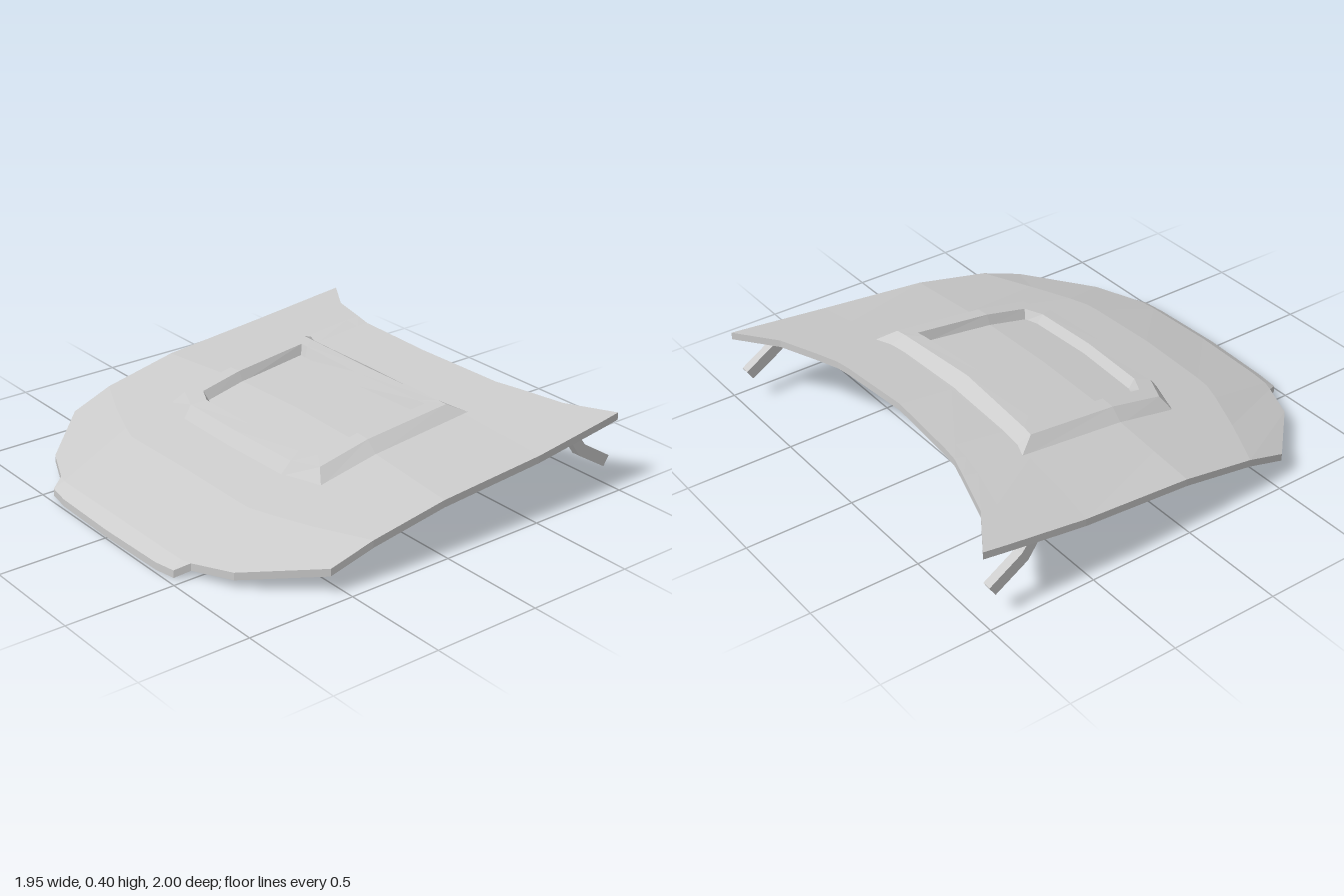
import * as THREE from 'three';

const material = new THREE.MeshStandardMaterial({ color: 0xcccccc, flatShading: true });

// Crowned panel height: centre-line profile along z, falling away to the sides
const profile = [[-1, 0.425], [-0.74, 0.395], [-0.48, 0.365], [0, 0.315], [0.59, 0.195], [0.93, 0.08], [1, 0.033]];
function height(x, z) {
  let i = 0;
  while (i < profile.length - 2 && z > profile[i + 1][0]) i++;
  const [z0, y0] = profile[i], [z1, y1] = profile[i + 1];
  return y0 + (y1 - y0) * (z - z0) / (z1 - z0) - 0.075 * x * x;
}

// Collects quads (counter-clockwise from their front) into one flat-shaded mesh
function quadMesh(name, quads) {
  const pos = [];
  for (const [a, b, c, d] of quads) pos.push(...a, ...b, ...c, ...a, ...c, ...d);
  const geo = new THREE.BufferGeometry();
  geo.setAttribute('position', new THREE.Float32BufferAttribute(pos, 3));
  geo.computeVertexNormals();
  const mesh = new THREE.Mesh(geo, material);
  mesh.name = name;
  return mesh;
}

// Main panel: rows run back to front, each listed from the centre to the side as [x, z, height offset]
function hoodPanel() {
  const front = [[0.67, 0.83, -0.006], [0.938, 0.56, -0.018]];
  const rows = [
    [[0, -0.74], [0.36, -0.762], [0.44, -0.77], [0.55, -0.803], [0.76, -0.868], [0.96, -1]],
    [[0, -0.69], [0.36, -0.71], [0.45, -0.72], [0.56, -0.74], [0.76, -0.79], [0.965, -0.89]],
    [[0, -0.48], [0.37, -0.48], [0.46, -0.48], [0.57, -0.49], [0.77, -0.5], [0.975, -0.52]],
    [[0, 0], [0.37, 0], [0.45, 0], [0.56, 0], [0.76, 0], [0.968, 0, 0.008]],
    [[0, 0.59], [0.36, 0.585], [0.43, 0.58], [0.52, 0.55], [0.72, 0.47], [0.955, 0.36, 0.01]],
    [[0, 0.935], [0.35, 0.93], [0.44, 0.925], [0.49, 0.91, -0.004], ...front],
    [[0, 0.995], [0.35, 0.985], [0.455, 0.97], [0.49, 0.91, -0.004], ...front],
  ].map((half) => {
    const pts = half.map(([x, z, dy = 0]) => [x, height(x, z) + dy, z]);
    return [...pts.slice(1).reverse().map(([x, y, z]) => [-x, y, z]), ...pts];
  });
  const down = ([x, y, z]) => [x, y - 0.034, z];
  const quads = [];
  const last = rows[0].length - 1;
  for (let r = 0; r < rows.length - 1; r++) {
    for (let c = 0; c < last; c++) {
      const q = [rows[r][c], rows[r + 1][c], rows[r + 1][c + 1], rows[r][c + 1]];
      quads.push(q, q.map(down).reverse());
    }
  }
  // Edge strip round the outline
  const outline = [
    ...rows.map((row) => row[0]),
    ...rows[rows.length - 1].slice(1),
    ...rows.slice(0, -1).reverse().map((row) => row[last]),
    ...rows[0].slice(1, -1).reverse(),
  ];
  outline.forEach((a, i) => {
    const b = outline[(i + 1) % outline.length];
    quads.push([a, down(a), down(b), b]);
  });
  return quadMesh('hoodPanel', quads);
}

// Raised frame: nested loops from the outer foot over the flat rim to the inner foot
function scoopFrame() {
  const loop = (lift, half) => {
    const pts = half.map(([x, z]) => [x, height(x, z) + lift, z]);
    return [...pts, ...pts.slice(1, -1).reverse().map(([x, y, z]) => [-x, y, z])];
  };
  const loops = [
    loop(-0.006, [[0, 0.373], [0.35, 0.357], [0.54, 0.292], [0.545, 0], [0.55, -0.52], [0.47, -0.49], [0, -0.475]]),
    loop(0.045, [[0, 0.325], [0.36, 0.31], [0.485, 0.255], [0.485, 0], [0.492, -0.43], [0.44, -0.425], [0, -0.4]]),
    loop(0.045, [[0, 0.255], [0.33, 0.245], [0.412, 0.205], [0.418, 0], [0.428, -0.365], [0.38, -0.36], [0, -0.335]]),
    loop(-0.006, [[0, 0.222], [0.33, 0.212], [0.388, 0.19], [0.394, 0], [0.408, -0.345], [0.37, -0.338], [0, -0.31]]),
  ];
  const quads = [];
  for (let k = 0; k < loops.length - 1; k++) {
    const outer = loops[k], inner = loops[k + 1];
    outer.forEach((a, i) => {
      const j = (i + 1) % outer.length;
      quads.push([a, outer[j], inner[j], inner[i]]);
    });
  }
  return quadMesh('scoopFrame', quads);
}

// Bent hinge arm under a rear corner, drawn in side profile as [-z, y]
function hingeArm(name, x) {
  const shape = new THREE.Shape([
    [0.715, 0.31], [0.785, 0.21], [0.94, 0.115], [0.968, 0.16], [0.815, 0.255], [0.765, 0.318],
  ].map((p) => new THREE.Vector2(...p)));
  const geo = new THREE.ExtrudeGeometry(shape, { depth: 0.042, bevelEnabled: false });
  geo.translate(0, 0, -0.021).rotateY(Math.PI / 2);
  const mesh = new THREE.Mesh(geo, material);
  mesh.name = name;
  mesh.position.x = x;
  return mesh;
}

export function createModel() {
  const group = new THREE.Group();
  group.name = 'carHood';
  group.add(hoodPanel(), scoopFrame(), hingeArm('leftHinge', 0.932), hingeArm('rightHinge', -0.932));
  return group;
}
